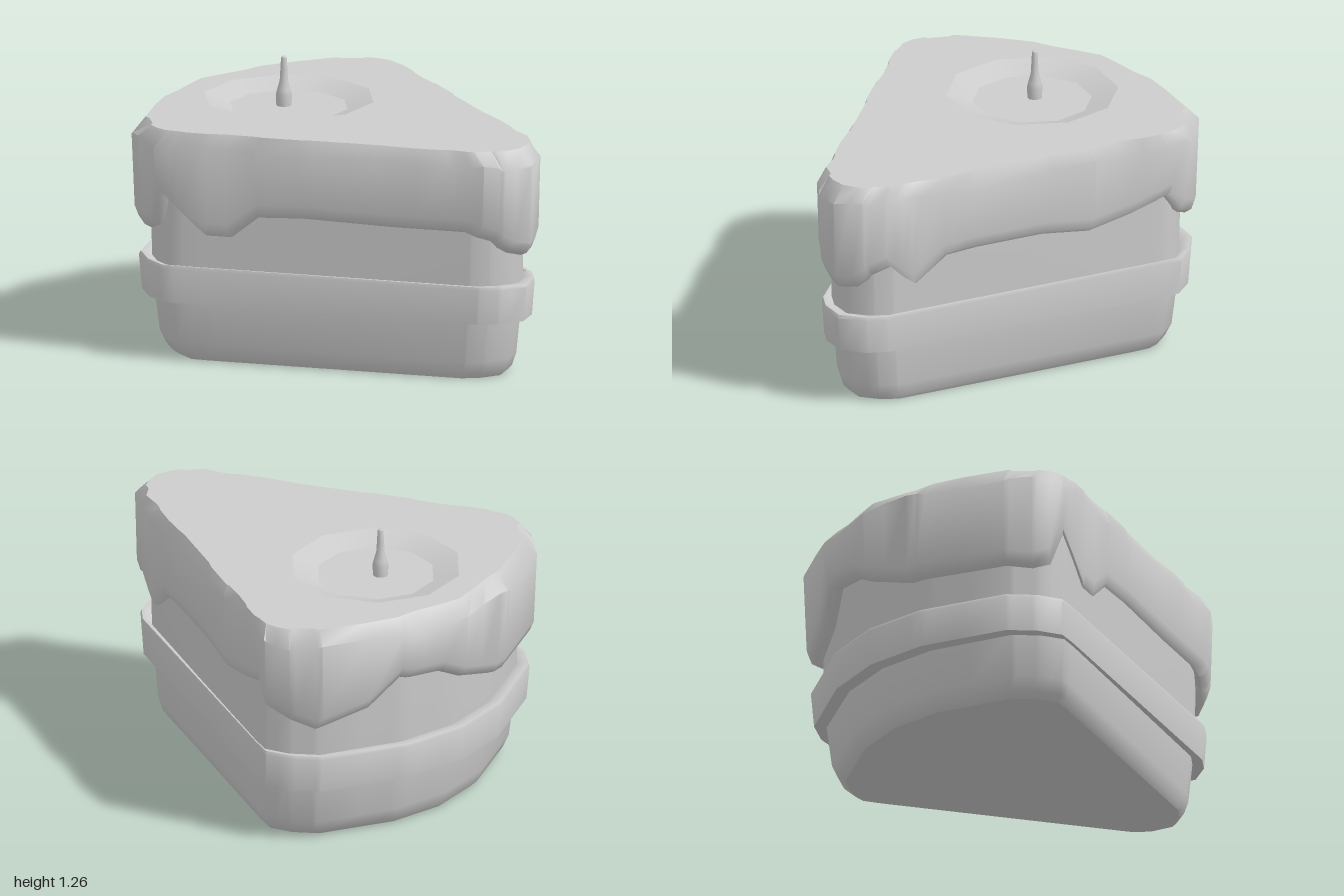
import * as THREE from 'three';
import { toCreasedNormals } from 'three/addons/utils/BufferGeometryUtils.js';

// Half-width of the wedge outline against z, from the back curve to the front tip
const OUTLINE = [[-1, 0], [-0.95, 0.31], [-0.76, 0.7], [-0.64, 0.79], [-0.52, 0.83], [-0.42, 0.79],
  [0.88, 0.19], [0.95, 0.12], [1, 0]];

// Height of the dripping icing edge against z, on each side
const DRIP_RIGHT = [[-1, 0.69], [-0.98, 0.75], [-0.93, 0.78], [-0.86, 0.65], [-0.74, 0.58], [-0.53, 0.67],
  [-0.46, 0.765], [-0.3, 0.715], [-0.09, 0.67], [0.14, 0.7], [0.45, 0.7], [0.6, 0.69], [0.71, 0.61],
  [0.75, 0.58], [0.79, 0.61], [0.87, 0.69], [0.94, 0.65], [0.97, 0.59], [1, 0.58]];
const DRIP_LEFT = [[-1, 0.69], [-0.96, 0.61], [-0.76, 0.6], [-0.66, 0.59], [-0.58, 0.62], [-0.52, 0.78],
  [-0.33, 0.6], [-0.22, 0.6], [-0.1, 0.7], [0.1, 0.71], [0.5, 0.7], [0.83, 0.7], [0.93, 0.66],
  [0.97, 0.6], [1, 0.58]];

function interpolate(table, z) {
  for (let i = 1; i < table.length; i++) {
    const [z0, v0] = table[i - 1], [z1, v1] = table[i];
    if (z <= z1) return v0 + (v1 - v0) * (z - z0) / (z1 - z0);
  }
  return table[table.length - 1][1];
}

// Perimeter samples, anticlockwise from the front tip
const ZS = [...new Set([...OUTLINE, ...DRIP_RIGHT, ...DRIP_LEFT].map(p => p[0]))].sort((a, b) => b - a);
const sample = (z, side) => ({
  x: side * interpolate(OUTLINE, z), z,
  drip: interpolate(side > 0 ? DRIP_RIGHT : DRIP_LEFT, z),
});
const PERIMETER = [
  ...ZS.map(z => sample(z, 1)),
  ...ZS.slice(1, -1).reverse().map(z => sample(z, -1)),
];

// One cross-section: the outline scaled in x and z, at a height or height rule
function ring(sx, sz, y) {
  return PERIMETER.map((p, i) =>
    new THREE.Vector3(p.x * sx, typeof y === 'function' ? y(p, i) : y, p.z * sz));
}

// Skin joining closed cross-sections
function loft(rings, crease = 0.9) {
  const n = rings[0].length, index = [];
  for (let j = 0; j < rings.length - 1; j++) {
    for (let i = 0; i < n; i++) {
      const a = j * n + i, b = j * n + (i + 1) % n;
      index.push(a, b, b + n, a, b + n, a + n);
    }
  }
  const geo = new THREE.BufferGeometry().setFromPoints(rings.flat());
  geo.setIndex(index);
  return toCreasedNormals(geo, crease);
}

// Flat lid over a cross-section, facing up or down, with an optional hole
function lid(points, up, hole) {
  const s = up ? -1 : 1;
  const flat = pts => pts.map(p => new THREE.Vector2(p.x, p.z * s));
  const shape = new THREE.Shape(flat(points));
  if (hole) shape.holes.push(new THREE.Path(flat(hole)));
  return new THREE.ShapeGeometry(shape).rotateX(s * Math.PI / 2).translate(0, points[0].y, 0);
}

// Ten-sided ring of the round hollow
function hollowRing(radius, y) {
  return Array.from({ length: 10 }, (_, i) => {
    const a = (i + 0.25) / 10 * Math.PI * 2;
    return new THREE.Vector3(0.005 + radius * Math.cos(a), y, -0.43 - radius * Math.sin(a));
  });
}

export function createModel() {
  const model = new THREE.Group();
  model.name = 'cakeSlice';
  const grey = new THREE.MeshStandardMaterial({ color: 0xcccccc });
  grey.name = 'plainGrey';
  const add = (name, geo, parent = model) => {
    const mesh = new THREE.Mesh(geo, grey);
    mesh.name = name;
    parent.add(mesh);
  };
  const group = name => {
    const g = new THREE.Group();
    g.name = name;
    model.add(g);
    return g;
  };

  // Sponge wedge, rounded in towards the base
  const sponge = group('sponge');
  const base = ring(0.82, 0.815, 0);
  add('spongeSides', loft([
    base, ring(0.86, 0.84, 0.025), ring(0.895, 0.862, 0.085),
    ring(0.92, 0.885, 0.28), ring(0.927, 0.9, 0.45), ring(0.927, 0.905, 0.9),
  ]), sponge);
  add('spongeBase', lid(base, false), sponge);

  // Filling band standing proud of the sponge
  add('fillingBand', loft([
    ring(0.9, 0.87, 0.275), ring(0.957, 0.952, 0.275), ring(0.968, 0.968, 0.435),
    ring(0.96, 0.96, 0.45), ring(0.945, 0.93, 0.45), ring(0.92, 0.89, 0.43),
  ], 0.8));

  // Icing with a dripping lower edge and a soft upper bevel
  const icing = group('icing');
  const top = ring(0.95, 0.93, 1.075);
  top.forEach((p, i) => {
    const k = 1 + 0.012 * Math.sin(i * 1.3);
    p.x *= k;
    p.z *= k;
  });
  add('icingSides', loft([
    ring(0.91, 0.885, p => p.drip + 0.03),
    ring(0.945, 0.935, p => p.drip),
    ring(0.97, 0.968, p => p.drip + 0.015),
    ring(0.982, 0.99, p => p.drip + 0.06),
    ring(1, 1, (p, i) => 1.005 + 0.015 * Math.sin(i * 0.9)),
    top,
  ]), icing);
  const rim = hollowRing(0.39, 1.075), floor = hollowRing(0.27, 1.035);
  add('icingTop', lid(top, true, rim), icing);
  add('hollowSlope', loft([rim, hollowRing(0.34, 1.058), floor]), icing);
  add('hollowFloor', lid(floor, true), icing);

  // Slender stem standing in the hollow
  const profile = [[0.034, 1.03], [0.036, 1.085], [0.03, 1.11], [0.019, 1.15], [0.016, 1.2],
    [0.013, 1.255], [0.009, 1.262], [0, 1.262]];
  const stem = new THREE.LatheGeometry(profile.map(p => new THREE.Vector2(...p)), 10);
  add('stem', stem.translate(0, 0, -0.455));

  return model;
}
